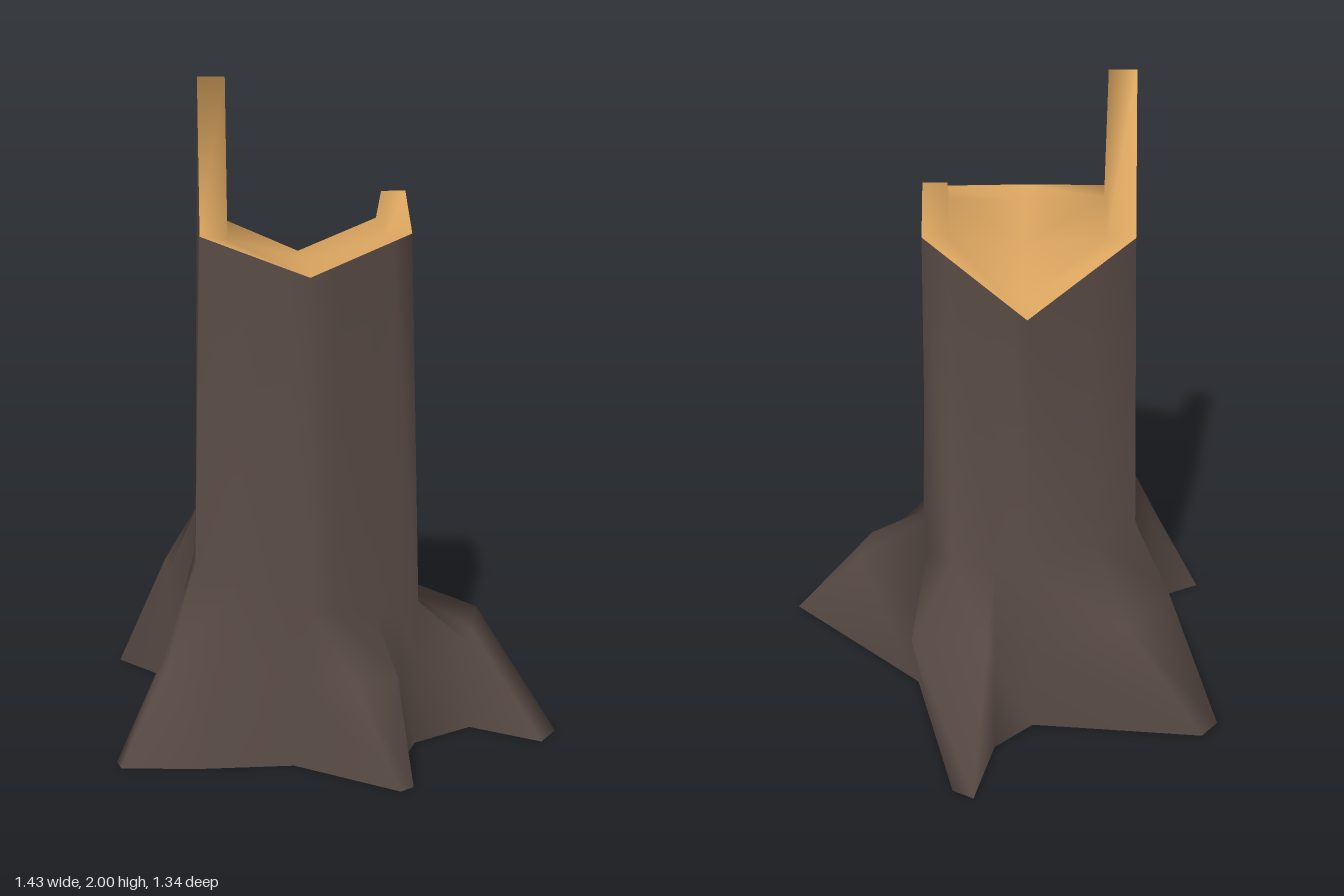
import * as THREE from 'three';
import { mergeVertices } from 'three/addons/utils/BufferGeometryUtils.js';

const bark = new THREE.MeshStandardMaterial({ color: 0x594b45, side: THREE.DoubleSide });
bark.name = 'bark brown';
const wood = new THREE.MeshStandardMaterial({ color: 0xdca660, side: THREE.DoubleSide });
wood.name = 'fresh wood';

const v = (x, y, z) => new THREE.Vector3(x, y, z);

// Splintered rim: six trunk corners plus two raised splinters (indices 2 and 6)
const rim = [
  v(-0.24, 1.4, -0.26), v(0.1, 1.57, -0.32), v(0.215, 1.66, -0.19), v(0.33, 1.57, -0.06),
  v(0.22, 1.49, 0.28), v(-0.13, 1.57, 0.34), v(-0.24, 2, 0.21), v(-0.36, 1.57, 0.07),
];
const splinters = [2, 6];
const rimAt = (t) => {
  const i = Math.floor(t);
  return rim[i % 8].clone().lerp(rim[(i + 1) % 8], t - i);
};

// Valleys between the roots: position on the rim, then the foot on the ground
const valleys = [
  { t: 0, foot: [-0.285, -0.285] },
  { t: 1, foot: [0.13, -0.36] },
  { t: 3, foot: [0.41, 0] },
  { t: 4, foot: [0.205, 0.34] },
  { t: 5.5, foot: [-0.2, 0.315] },
  { t: 6, foot: [-0.275, 0.245] },
  { t: 6.6, foot: [-0.35, 0.175] },
];

// Roots: the two edges of each bent ridge, and the narrow side below the bend
const roots = [
  { t: 0.15, foot: [-0.265, -0.44], knee: [-0.255, 0.3, -0.425] },   // back
  { t: 0.35, foot: [-0.37, -0.655], knee: [-0.24, 0.37, -0.44] },
  { t: 0.75, foot: [-0.3, -0.67], knee: [-0.055, 0.38, -0.573] },
  { t: 2, foot: [0.71, -0.33], knee: [0.41, 0.34, -0.33] },          // left rear
  { t: 2.5, foot: [0.715, -0.24], knee: [0.485, 0.33, -0.19] },
  { t: 2.75, foot: [0.485, -0.19], knee: [0.475, 0.29, -0.18] },
  { t: 3.2, foot: [0.445, 0.12], knee: [0.435, 0.24, 0.115] },       // left front
  { t: 3.45, foot: [0.565, 0.235], knee: [0.43, 0.28, 0.13] },
  { t: 3.75, foot: [0.55, 0.28], knee: [0.39, 0.28, 0.27] },
  { t: 4.25, foot: [0, 0.52], knee: [0, 0.37, 0.44] },               // front
  { t: 4.6, foot: [-0.195, 0.665], knee: [-0.115, 0.31, 0.54] },
  { t: 5, foot: [-0.235, 0.64], knee: [-0.155, 0.33, 0.5] },
  { t: 5.2, foot: [-0.17, 0.49], knee: [-0.165, 0.29, 0.48] },
  { t: 6.85, foot: [-0.5, 0.105], knee: [-0.49, 0.37, 0.1] },        // right
  { t: 7, foot: [-0.715, 0.095], knee: [-0.51, 0.41, 0.09] },
  { t: 7.4, foot: [-0.715, 0.015], knee: [-0.53, 0.4, -0.13] },
];

// Trunk and roots as one skin of columns: foot, knee, shoulder, rim
function trunkGeometry() {
  const columns = [...valleys, ...roots].sort((a, b) => a.t - b.t);
  const pos = [], index = [], rows = 4, n = columns.length;
  for (const { t, foot: [fx, fz], knee } of columns) {
    const r = rimAt(t);
    const top = 0.525 - 0.1 * Math.cos((t - 2.4) * Math.PI / 4);
    const sx = r.x * (r.x > 0 ? 1.13 : 1.07), sz = r.z * (r.z > 0 ? 1.1 : 1.01);
    const bend = knee ?? [fx + (sx - fx) * 0.4, 0.27, fz + (sz - fz) * 0.4];
    pos.push(fx, 0, fz, ...bend, sx, top, sz, r.x, r.y, r.z);
  }
  for (let c = 0; c < n; c++) {
    for (let r = 0; r < rows - 1; r++) {
      const a = c * rows + r, b = ((c + 1) % n) * rows + r;
      index.push(a, a + 1, b + 1, a, b + 1, b);
    }
  }
  const g = new THREE.BufferGeometry();
  g.setAttribute('position', new THREE.Float32BufferAttribute(pos, 3));
  g.setIndex(index);
  g.computeVertexNormals();
  return g;
}

// Broken top: rim band, inner faces of the splinters and a shallow floor
function woodGeometry() {
  const inner = rim.map((p, i) => v(p.x * 0.75, splinters.includes(i) ? p.y : p.y - 0.02, p.z * 0.75));
  inner[0].y = 1.42;
  const centre = v(0, 1.46, 0);
  const tris = [];
  for (let i = 0; i < 8; i++) {
    const j = (i + 1) % 8;
    tris.push(rim[i], inner[i], inner[j], rim[i], inner[j], rim[j]);
    if (splinters.includes(i)) continue;
    const next = splinters.includes(j) ? (j + 1) % 8 : j;
    tris.push(inner[i], centre, inner[next]);
    if (next !== j) tris.push(inner[i], inner[next], inner[j]);
  }
  const g = mergeVertices(new THREE.BufferGeometry().setFromPoints(tris));
  g.computeVertexNormals();
  return g;
}

export function createModel() {
  const group = new THREE.Group();
  group.name = 'brokenTreeStump';
  const trunk = new THREE.Mesh(trunkGeometry(), bark);
  trunk.name = 'trunkAndRoots';
  const top = new THREE.Mesh(woodGeometry(), wood);
  top.name = 'splinteredTop';
  group.add(trunk, top);
  return group;
}
